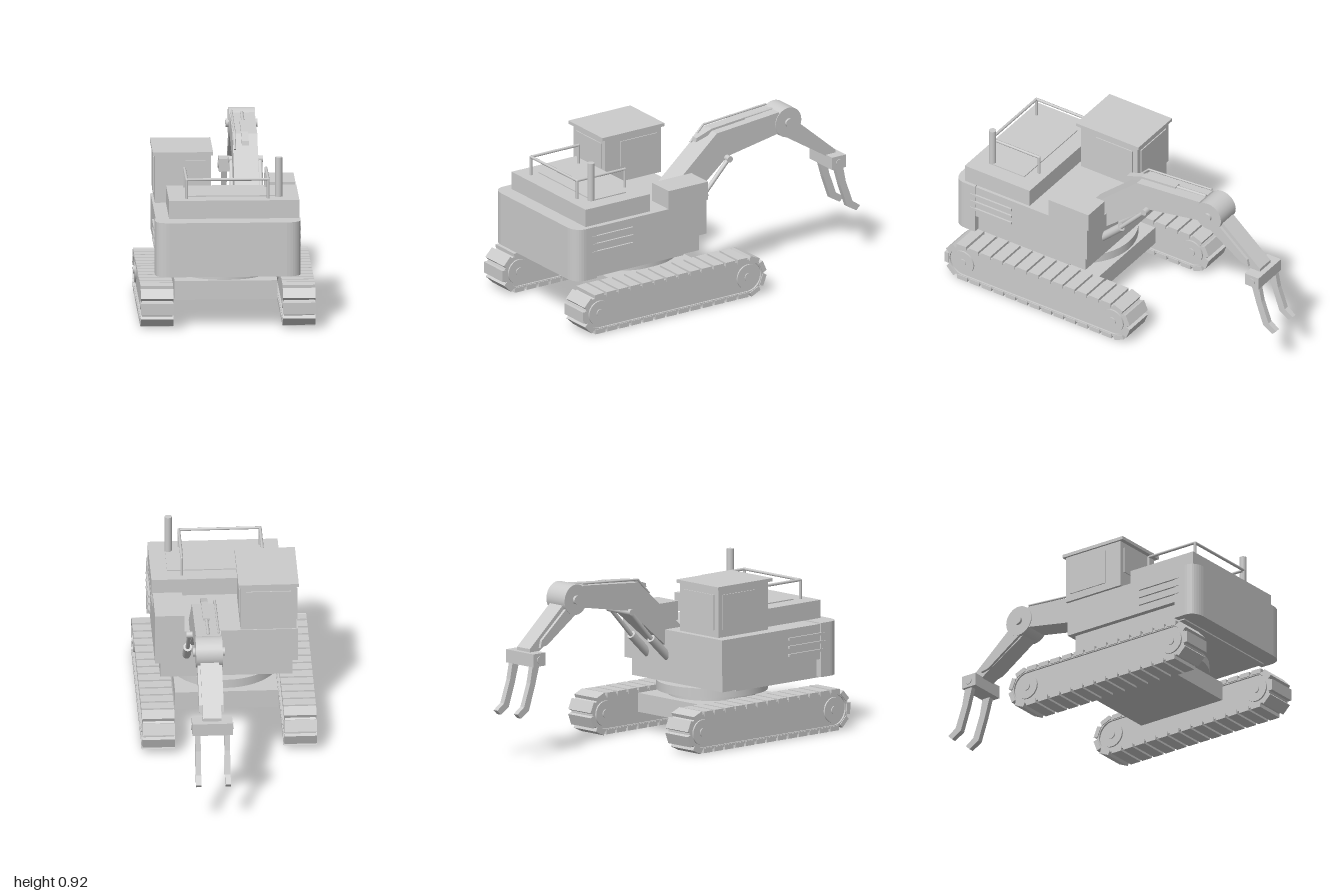
import * as THREE from 'three';

const mat = new THREE.MeshStandardMaterial({ color: 0xcccccc, flatShading: true });
const smooth = new THREE.MeshStandardMaterial({ color: 0xcccccc });
const V = (x, y, z) => new THREE.Vector3(x, y, z);

export function createModel() {
  const root = new THREE.Group();
  const add = (name, geo, parent = root, m = mat) => {
    const mesh = new THREE.Mesh(geo, m);
    mesh.name = name;
    parent.add(mesh);
    return mesh;
  };
  // Box given by its extents
  const box = (name, x0, x1, y0, y1, z0, z1, parent = root) => {
    const b = add(name, new THREE.BoxGeometry(x1 - x0, y1 - y0, z1 - z0), parent);
    b.position.set((x0 + x1) / 2, (y0 + y1) / 2, (z0 + z1) / 2);
    return b;
  };
  // Cylinder between two points
  const rod = (name, a, b, r, parent = root, seg = 16) => {
    const c = add(name, new THREE.CylinderGeometry(r, r, a.distanceTo(b), seg), parent, smooth);
    c.position.copy(a).add(b).multiplyScalar(0.5);
    c.quaternion.setFromUnitVectors(V(0, 1, 0), b.clone().sub(a).normalize());
    return c;
  };
  // Side profile of [z, y] points, extruded from x0 to x1
  const plate = (name, pts, x0, x1, parent = root) => {
    const shape = Array.isArray(pts) ? new THREE.Shape(pts.map(([z, y]) => new THREE.Vector2(-z, y))) : pts;
    const geo = new THREE.ExtrudeGeometry(shape, { depth: x1 - x0, bevelEnabled: false, curveSegments: 14 });
    geo.rotateY(Math.PI / 2).translate(x0, 0, 0);
    return add(name, geo, parent);
  };
  // Rounded tube through points
  const pipe = (name, pts, r, parent = root) => {
    const path = new THREE.CurvePath();
    for (let i = 1; i < pts.length; i++) path.add(new THREE.LineCurve3(pts[i - 1], pts[i]));
    for (let i = 1; i < pts.length; i++) rod(name, pts[i - 1], pts[i], r, parent, 8);
    pts.slice(1, -1).forEach(p => add(name + 'Joint', new THREE.SphereGeometry(r, 8, 6), parent, smooth).position.copy(p));
  };

  // Crawler tracks
  const zRear = -0.09, zFront = 0.89, yAxle = 0.115, straight = zFront - zRear;
  const stadium = (Type, r) => {
    const s = new Type();
    s.absarc(-zRear, yAxle, r, -Math.PI / 2, Math.PI / 2, false);
    s.absarc(-zFront, yAxle, r, Math.PI / 2, Math.PI * 1.5, false);
    s.closePath();
    return s;
  };
  for (const side of [-1, 1]) {
    const track = new THREE.Group();
    track.name = side > 0 ? 'leftTrack' : 'rightTrack';
    track.position.x = side * 0.387;
    root.add(track);
    const belt = stadium(THREE.Shape, 0.1);
    belt.holes.push(stadium(THREE.Path, 0.085));
    plate('trackBelt', belt, -0.084, 0.084, track);
    plate('trackFrame', stadium(THREE.Shape, 0.088), -0.074, 0.074, track);
    for (const z of [zRear, zFront]) {
      rod('trackWheel', V(-0.083, yAxle, z), V(0.083, yAxle, z), 0.07, track, 24);
      rod('wheelHub', V(-0.089, yAxle, z), V(0.089, yAxle, z), 0.023, track);
    }
    // Shoes spaced evenly round the loop
    const r = 0.102, arc = Math.PI * r, total = 2 * (straight + arc), count = 33;
    for (let i = 0; i < count; i++) {
      let d = (i + 0.5) * total / count, z, y, a;
      if (d < straight) { z = zRear + d; y = yAxle + r; a = 0; }
      else if (d < straight + arc) {
        a = (d - straight) / r;
        z = zFront + r * Math.sin(a); y = yAxle + r * Math.cos(a);
      } else if (d < 2 * straight + arc) { z = zFront - (d - straight - arc); y = yAxle - r; a = Math.PI; }
      else {
        a = Math.PI + (d - 2 * straight - arc) / r;
        z = zRear + r * Math.sin(a); y = yAxle + r * Math.cos(a);
      }
      const shoe = add('trackShoe', new THREE.BoxGeometry(0.178, 0.026, 0.064), track);
      shoe.position.set(0, y, z);
      shoe.rotation.x = a;
    }
  }

  // Undercarriage and slewing ring
  box('undercarriageFrame', -0.28, 0.28, 0.1, 0.205, 0.13, 0.68);
  rod('ringPedestal', V(0, 0.19, 0.42), V(0, 0.24, 0.42), 0.24, root, 40);
  rod('slewingRing', V(0, 0.235, 0.42), V(0, 0.285, 0.42), 0.305, root, 48);

  // Upper body
  box('basePlate', -0.36, 0.36, 0.283, 0.31, 0.26, 0.9);
  box('lowerBody', -0.36, 0.36, 0.29, 0.39, 0.16, 0.87);
  box('upperBody', -0.39, 0.39, 0.39, 0.585, 0.13, 0.87);

  // Counterweight with rounded outer corners
  const cw = new THREE.Shape();
  cw.moveTo(-0.397, -0.86);
  cw.lineTo(-0.397, -0.93);
  cw.quadraticCurveTo(-0.395, -0.995, -0.32, -1);
  cw.lineTo(0.32, -1);
  cw.quadraticCurveTo(0.395, -0.995, 0.397, -0.93);
  cw.lineTo(0.397, -0.86);
  cw.closePath();
  const cwGeo = new THREE.ExtrudeGeometry(cw, { depth: 0.3, bevelEnabled: false, curveSegments: 8 });
  add('counterweight', cwGeo.rotateX(-Math.PI / 2).translate(0, 0.29, 0));

  // Side vents
  for (const s of [-1, 1]) for (const y of [0.44, 0.485, 0.53])
    box('ventSlat', s * 0.393 - 0.008, s * 0.393 + 0.008, y - 0.007, y + 0.007, 0.62, 0.89);

  // Engine hood, toolbox, exhaust and handrail
  box('engineHood', -0.32, 0.39, 0.6, 0.7, 0.505, 0.93);
  box('hoodHatch', -0.22, 0.3, 0.7, 0.706, 0.6, 0.82);
  box('toolbox', 0.23, 0.39, 0.585, 0.69, 0.12, 0.38);
  rod('exhaustPipe', V(0.282, 0.69, 0.82), V(0.282, 0.917, 0.82), 0.02);
  const L = -0.222, R = 0.222;
  pipe('handrail', [V(L, 0.7, 0.555), V(L, 0.805, 0.555), V(L, 0.805, 0.87), V(R, 0.805, 0.87),
    V(R, 0.805, 0.555), V(R, 0.7, 0.555)], 0.008);
  for (const x of [L, R]) rod('railPost', V(x, 0.7, 0.87), V(x, 0.805, 0.87), 0.008, root, 8);

  // Cab
  box('cab', -0.38, -0.075, 0.6, 0.866, 0.11, 0.48);
  box('cabRoof', -0.392, -0.063, 0.866, 0.884, 0.095, 0.505);
  box('cabFrontWindow', -0.35, -0.105, 0.69, 0.835, 0.475, 0.486);
  box('cabRearWindow', -0.35, -0.105, 0.64, 0.835, 0.104, 0.115);
  box('cabSideWindow', -0.386, -0.375, 0.64, 0.835, 0.14, 0.38);
  box('cabInnerWindow', -0.08, -0.069, 0.69, 0.835, 0.14, 0.38);

  // Boom
  const arm = new THREE.Group();
  arm.name = 'arm';
  root.add(arm);
  plate('boom', [[0.27, 0.575], [-0.07, 0.87], [-0.48, 0.905], [-0.52, 0.79], [-0.14, 0.722], [0.13, 0.5]], 0.065, 0.2, arm);
  for (const x of [0.06, 0.218]) {
    rod('boomCylinder', V(x, 0.42, 0.16), V(x, 0.55, 0.02), 0.024, arm);
    rod('boomPiston', V(x, 0.54, 0.03), V(x, 0.715, -0.135), 0.012, arm);
  }
  rod('boomCylinderPin', V(0.045, 0.715, -0.135), V(0.233, 0.715, -0.135), 0.018, arm);
  // Stick cylinder lying over the boom, with hose
  plate('stickCylinder', [[0.035, 0.825], [0.03, 0.848], [-0.07, 0.882], [-0.29, 0.901], [-0.29, 0.875], [-0.07, 0.855]], 0.112, 0.15, arm);
  rod('stickPiston', V(0.131, 0.89, -0.28), V(0.131, 0.905, -0.48), 0.009, arm, 10);
  pipe('hose', [V(0.075, 0.8, 0.02), V(0.075, 0.885, -0.065), V(0.075, 0.915, -0.48)], 0.006, arm);

  // Elbow
  rod('elbow', V(0.06, 0.835, -0.54), V(0.205, 0.835, -0.54), 0.085, arm, 28);
  rod('elbowPin', V(0.045, 0.835, -0.54), V(0.219, 0.835, -0.54), 0.024, arm);

  // Stick
  plate('stick', [[-0.53, 0.84], [-0.61, 0.82], [-0.865, 0.6], [-0.865, 0.57], [-0.82, 0.565], [-0.51, 0.76]], 0.08, 0.182, arm);
  for (const x of [0.064, 0.182])
    plate('stickSidePlate', [[-0.53, 0.81], [-0.58, 0.815], [-0.79, 0.64], [-0.8, 0.6], [-0.75, 0.61], [-0.52, 0.765]], x, x + 0.016, arm);

  // Grapple
  box('grappleHead', 0.02, 0.24, 0.51, 0.582, -0.895, -0.805, arm);
  rod('grapplePin', V(0.015, 0.545, -0.85), V(0.245, 0.545, -0.85), 0.02, arm);
  for (const x of [0.05, 0.21])
    plate('grappleClaw', [[-0.835, 0.52], [-0.885, 0.52], [-0.905, 0.42], [-0.95, 0.295], [-1, 0.26], [-0.975, 0.235],
      [-0.915, 0.27], [-0.87, 0.4]], x - 0.015, x + 0.015, arm);

  return root;
}
